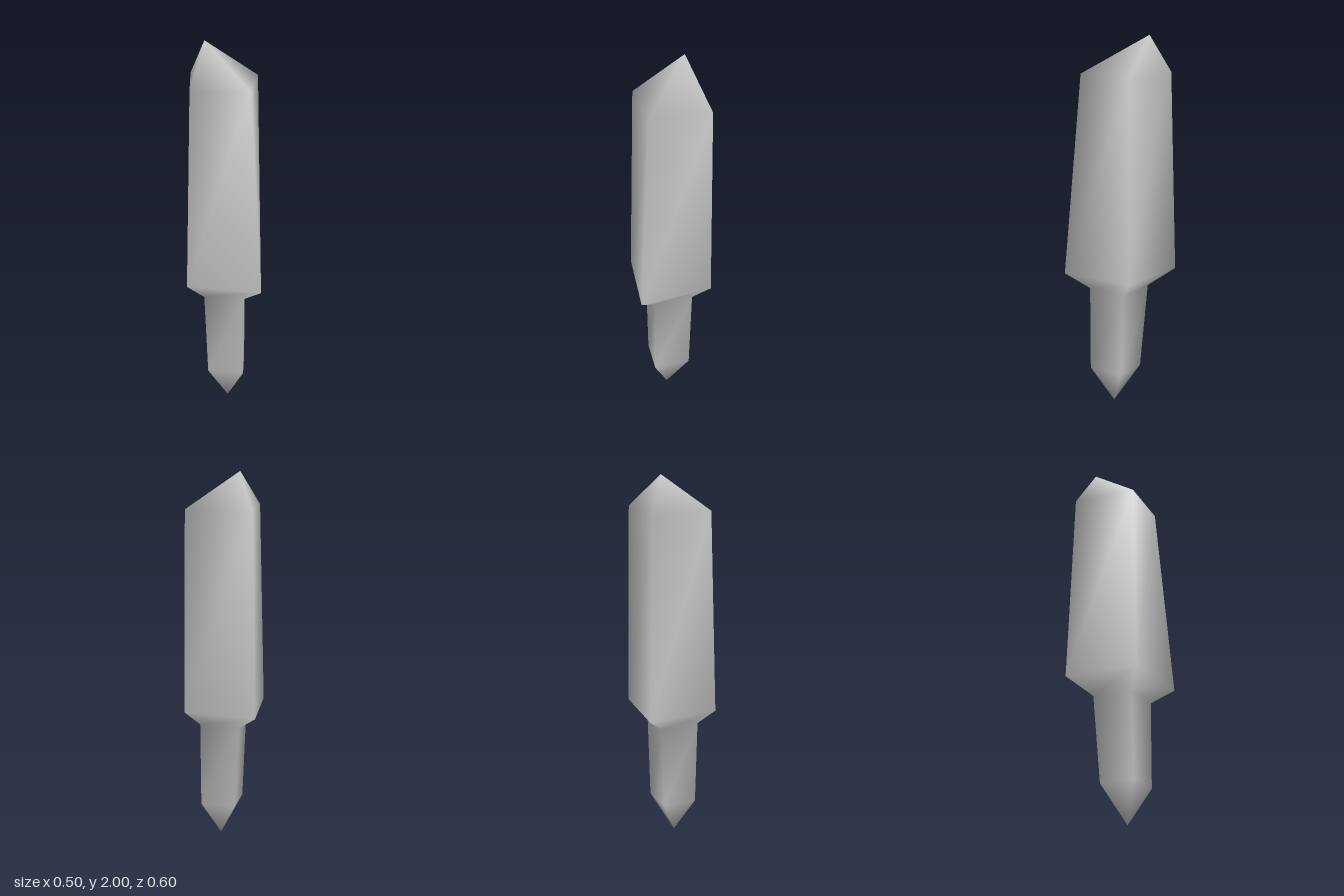
import * as THREE from 'three';

// Cross-sections from bottom to top: height, front z, left x, back z, right x, z of the side corners
const SECTIONS = [
  { y: 0.20, front: 0.165, left: 0.135, back: -0.11, right: -0.13, side: 0.02 },
  { y: 0.66, front: 0.165, left: 0.145, back: -0.15, right: -0.145, side: 0.01 },
  { y: 0.75, front: 0.30, left: 0.25, back: -0.30, right: -0.25, side: -0.005 },
  { y: 1.81, front: 0.205, left: 0.235, back: -0.265, right: -0.215, side: -0.005 },
];
const BOTTOM_TIP = [0, 0, 0.035];
const TOP_TIP = [0, 2, -0.15];

// Four-cornered shaft with a pointed tip at each end, smooth across all edges
function crystalGeometry() {
  const positions = [];
  const index = [];
  for (const s of SECTIONS) {
    positions.push(0, s.y, s.front, s.left, s.y, s.side, 0, s.y, s.back, s.right, s.y, s.side);
  }
  positions.push(...BOTTOM_TIP, ...TOP_TIP);

  const bottom = SECTIONS.length * 4;
  const top = bottom + 1;
  const last = bottom - 4;
  for (let i = 0; i < 4; i++) {
    const j = (i + 1) % 4;
    // Walls between neighbouring sections
    for (let r = 0; r < last; r += 4) {
      index.push(r + i, r + j, r + 4 + j, r + i, r + 4 + j, r + 4 + i);
    }
    // Lower and upper points
    index.push(bottom, j, i);
    index.push(last + i, last + j, top);
  }

  const geometry = new THREE.BufferGeometry();
  geometry.setAttribute('position', new THREE.Float32BufferAttribute(positions, 3));
  geometry.setIndex(index);
  geometry.computeVertexNormals();
  return geometry;
}

export function createModel() {
  const group = new THREE.Group();
  group.name = 'crystalSpike';
  const material = new THREE.MeshStandardMaterial({ color: 0xcccccc });
  const crystal = new THREE.Mesh(crystalGeometry(), material);
  crystal.name = 'crystal';
  group.add(crystal);
  return group;
}
